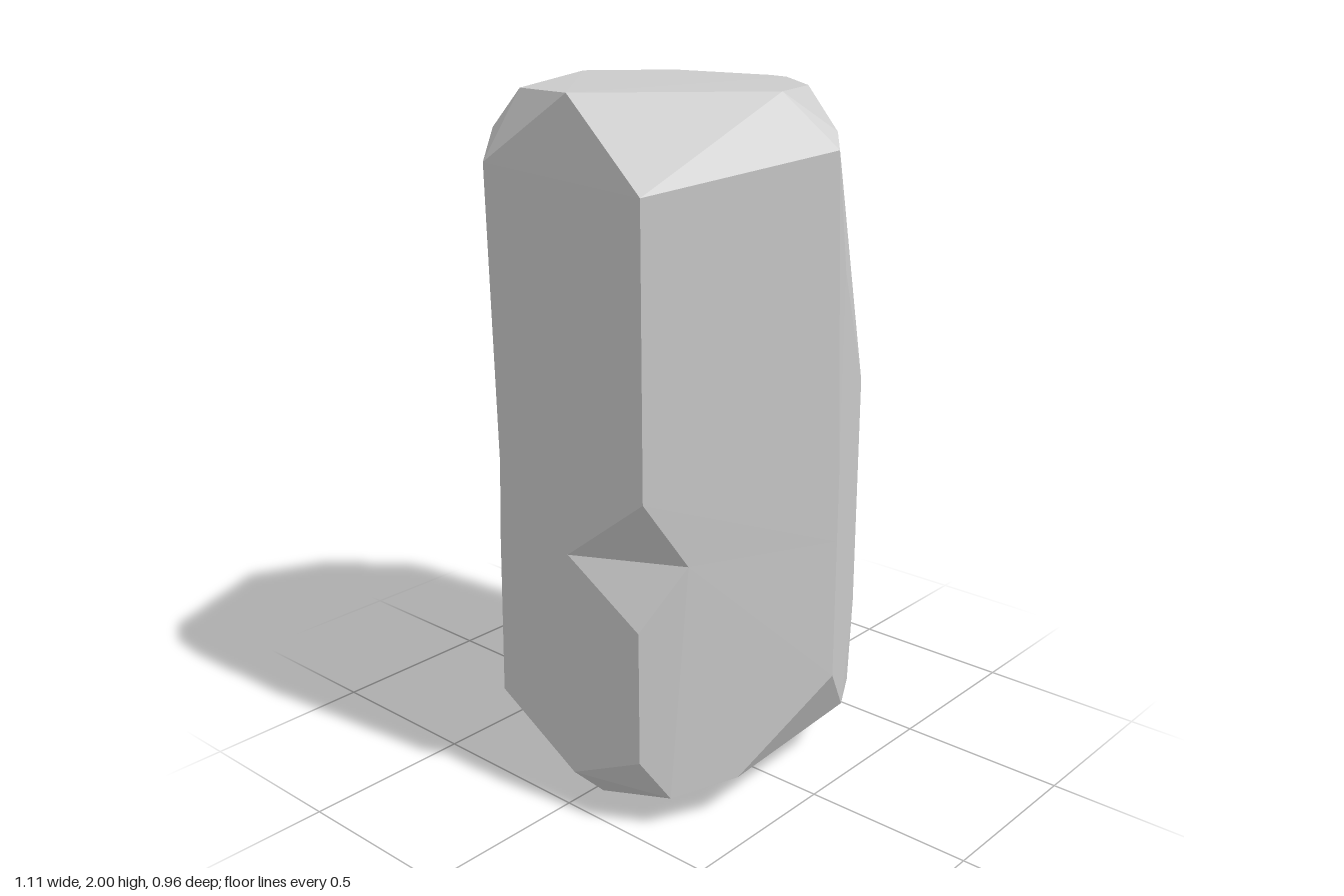
import * as THREE from 'three';
import { ConvexGeometry } from 'three/addons/geometries/ConvexGeometry.js';

const toVec = (p) => new THREE.Vector3(...p);

// Crease ring of the left notch, and crease ring of the front notch
const leftCrease = [
  [-0.48, 1.0, -0.13], [-0.26, 0.97, 0.48], [0.28, 0.98, 0.48],
  [0.55, 1.01, 0], [0.28, 1.03, -0.48], [-0.28, 1.02, -0.48],
].map(toVec);
const frontCrease = [
  [-0.53, 0.73, -0.04], [-0.45, 0.73, 0.18], [-0.27, 0.745, 0.48], [0, 0.765, 0.48],
  [0.34, 0.79, 0.37], [0.55, 0.805, 0], [0.28, 0.785, -0.48], [-0.28, 0.745, -0.48],
].map(toVec);

// Chipped top of the hexagonal column
const topCorners = [
  // rim of the top face
  [-0.41, 1.99, -0.03], [-0.3, 1.98, -0.3], [0.01, 1.98, -0.36], [0.2, 2, -0.19],
  [0.37, 2, -0.06], [0.41, 2, 0.1], [0.03, 2, 0.475], [-0.13, 1.99, 0.41], [-0.21, 1.99, 0.405],
  // shoulders
  [-0.555, 1.75, 0], [-0.32, 1.88, 0.405], [-0.28, 1.8, 0.48], [0.28, 1.77, 0.48],
  [0.54, 1.86, 0.03], [0.51, 1.9, 0], [0.55, 1.55, 0],
  [0.28, 1.1, -0.48], [-0.05, 1.72, -0.48], [-0.26, 1.67, -0.48], [-0.28, 1.5, -0.48],
  // upper end of the left notch
  [-0.555, 1.26, 0],
].map(toVec);

// Slanted, chipped foot
const footCorners = [
  // lower ends of the two notches
  [-0.555, 0.6, 0], [0.26, 0.61, 0.48],
  // lower ends of the upright edges
  [-0.555, 0.42, 0], [-0.28, 0.26, 0.48], [0.26, 0.22, 0.48],
  [0.55, 0.4, 0], [0.28, 0.38, -0.48], [-0.27, 0.47, -0.48],
  // rim of the underside
  [-0.33, 0.23, 0.4], [0, 0.09, 0.475], [0.05, 0.02, 0.41], [-0.05, 0, 0.33],
  [0.31, 0.1, 0.41], [0.41, 0.13, 0.24], [0.43, 0.18, -0.22], [0.31, 0.14, -0.42],
  [-0.07, 0.05, -0.37], [-0.28, 0.21, -0.38],
].map(toVec);

// Convex chunk of stone, left open where it meets its neighbours
function chunk(name, corners, openRings, material) {
  const geo = new ConvexGeometry([...corners, ...openRings.flat()]);
  const pos = geo.attributes.position;
  const kept = [];
  for (let i = 0; i < pos.count; i += 3) {
    const tri = [0, 1, 2].map((k) => new THREE.Vector3().fromBufferAttribute(pos, i + k));
    const isCap = openRings.some((ring) =>
      tri.every((v) => ring.some((r) => r.distanceTo(v) < 1e-4)));
    if (!isCap) kept.push(...tri);
  }
  const open = new THREE.BufferGeometry().setFromPoints(kept);
  open.computeVertexNormals();
  const mesh = new THREE.Mesh(open, material);
  mesh.name = name;
  return mesh;
}

export function createModel() {
  const group = new THREE.Group();
  group.name = 'stoneColumn';
  const stone = new THREE.MeshStandardMaterial({ color: 0xcccccc, flatShading: true });
  group.add(
    chunk('upperStone', topCorners, [leftCrease], stone),
    chunk('middleStone', [], [leftCrease, frontCrease], stone),
    chunk('lowerStone', footCorners, [frontCrease], stone),
  );
  return group;
}
